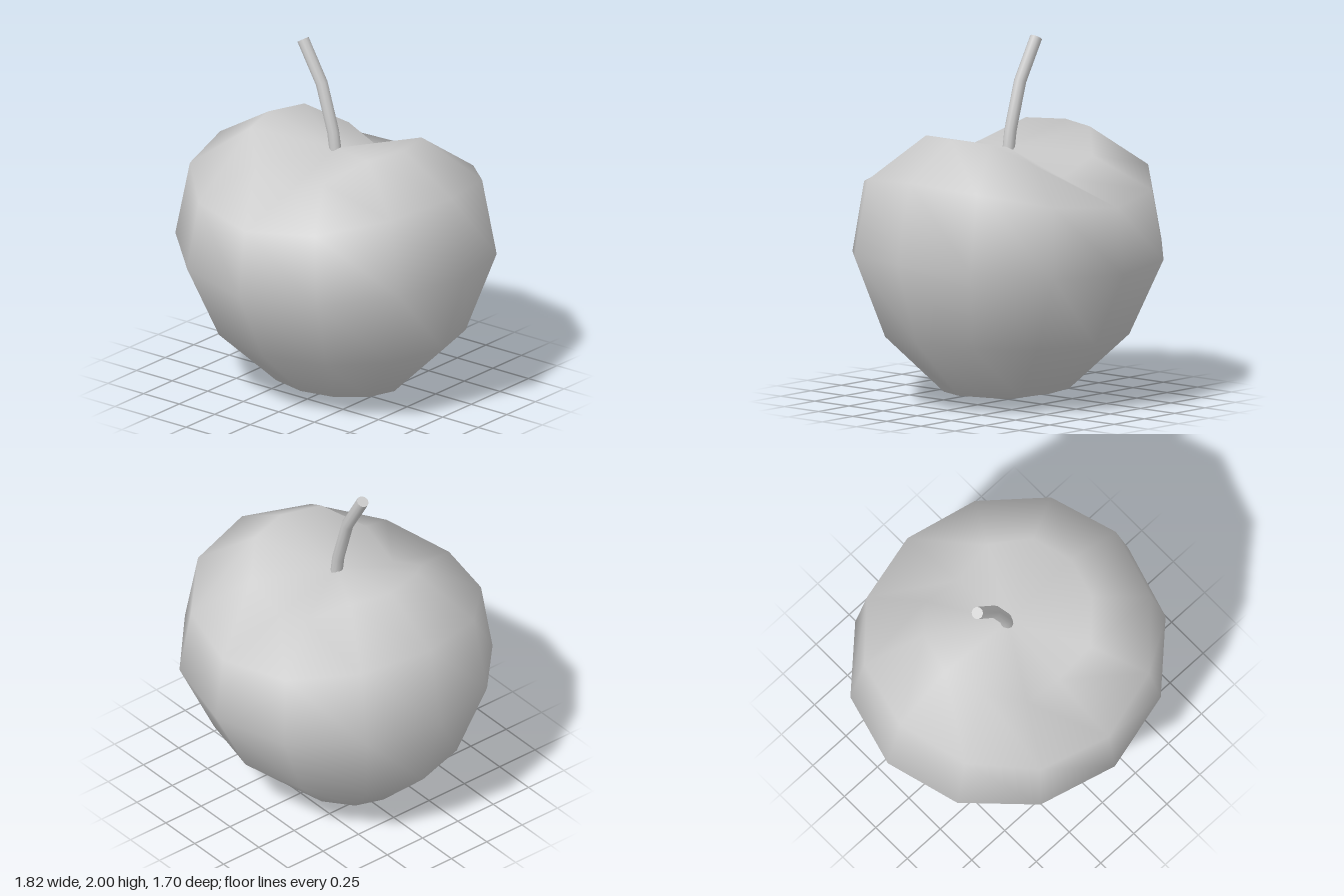
import * as THREE from 'three';
import { mergeVertices } from 'three/addons/utils/BufferGeometryUtils.js';

const material = new THREE.MeshStandardMaterial({ color: 0xcccccc });

// Rings from the stem dimple to the base: x radius, z radius, height at the sides, height at front and back
const RINGS = [
  [0, 0, 1.4, 1.4],
  [0.475, 0.4, 1.5, 1.27],
  [0.815, 0.8, 1.3, 1.15],
  [0.91, 0.85, 0.86, 0.78],
  [0.755, 0.64, 0.4, 0.37],
  [0.41, 0.31, 0.07, 0.065],
  [0, 0, 0, 0],
];

// Body: a 12-sided sphere grid reshaped ring by ring, with a saddle-shaped shoulder
function makeBody() {
  const sides = 12;
  const geo = new THREE.SphereGeometry(1, sides, RINGS.length - 1);
  const pos = geo.attributes.position;
  for (let i = 0; i < pos.count; i++) {
    const row = Math.floor(i / (sides + 1));
    const a = ((i % (sides + 1)) / sides) * Math.PI * 2;
    const [rx, rz, ySide, yFront] = RINGS[row];
    const c = Math.abs(Math.cos(a)), s = Math.abs(Math.sin(a));
    let depth = rz, blend = c * c;
    if (row === 1) {
      // the shoulder stays full at the cheeks and is pinched at front and back
      depth = s > 0.99 ? rz : 0.47;
      blend = c > 0.8 ? (c > 0.99 ? 1 : 0.96) : c * 0.87;
    }
    pos.setXYZ(i, -rx * Math.cos(a), yFront + (ySide - yFront) * blend, depth * Math.sin(a));
  }
  // weld the seam and poles for smooth shading
  geo.deleteAttribute('normal');
  geo.deleteAttribute('uv');
  const welded = mergeVertices(geo, 1e-4);
  welded.computeVertexNormals();
  return welded;
}

// Stem: a cylinder whose rings follow a bent path with mitred joints
function makeStem() {
  const path = [[-0.005, 1.39], [-0.02, 1.49], [-0.1, 1.755], [-0.232, 1.982]]
    .map(([x, y]) => new THREE.Vector2(x, y));
  const last = path.length - 1;
  const geo = new THREE.CylinderGeometry(0.034, 0.034, last, 10, last);
  const { position: pos, normal } = geo.attributes;
  for (let i = 0; i < pos.count; i++) {
    const k = Math.round(pos.getY(i) + last / 2);
    const t = path[Math.min(k + 1, last)].clone().sub(path[Math.max(k - 1, 0)]).normalize();
    const x = pos.getX(i), nx = normal.getX(i), ny = normal.getY(i);
    pos.setXYZ(i, path[k].x + x * t.y, path[k].y - x * t.x, pos.getZ(i));
    normal.setXYZ(i, nx * t.y + ny * t.x, -nx * t.x + ny * t.y, normal.getZ(i));
  }
  return geo;
}

export function createModel() {
  const group = new THREE.Group();
  group.name = 'apple';
  for (const [name, geo] of [['body', makeBody()], ['stem', makeStem()]]) {
    const mesh = new THREE.Mesh(geo, material);
    mesh.name = name;
    group.add(mesh);
  }
  return group;
}
